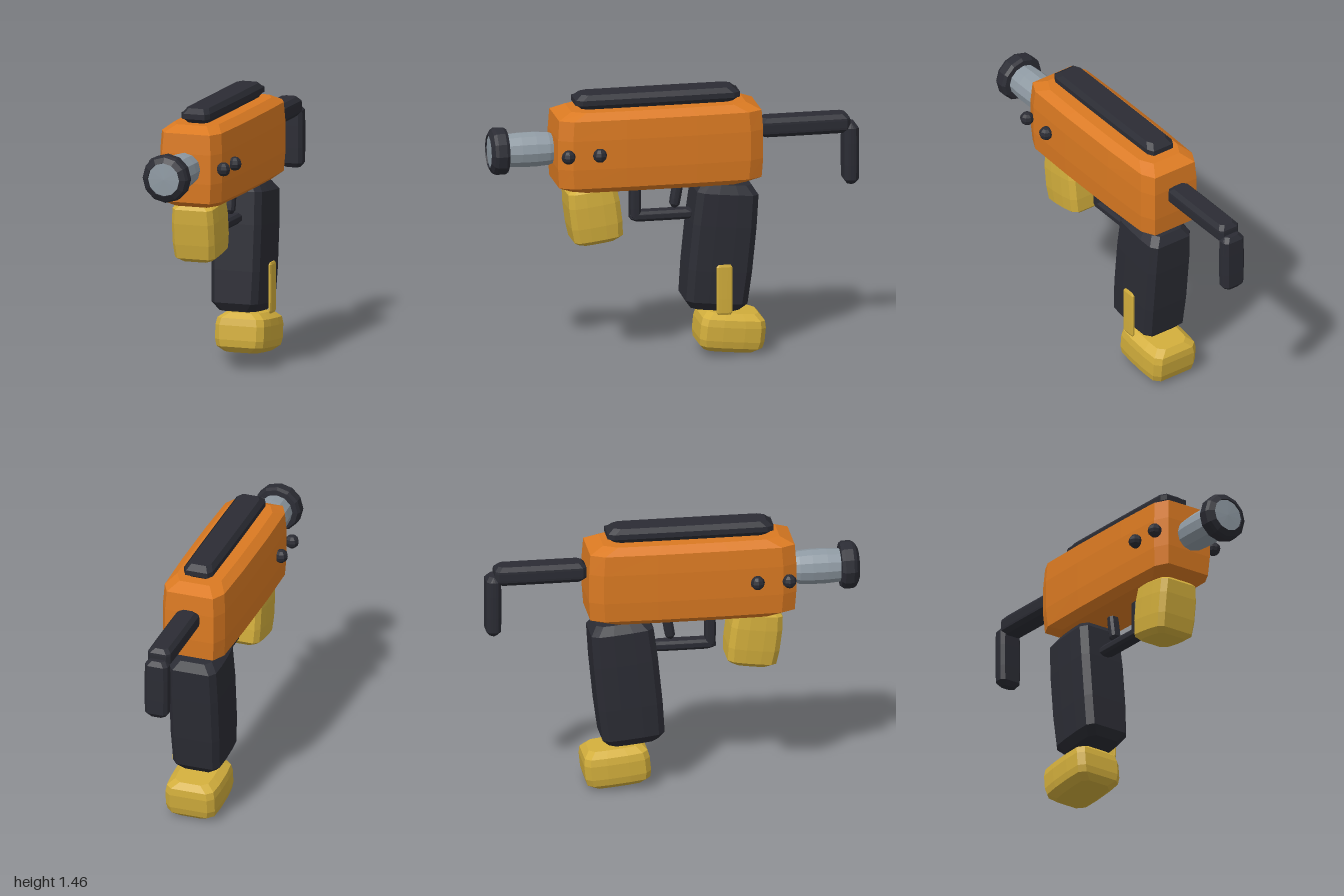
import * as THREE from 'three';

const orange = new THREE.MeshStandardMaterial({ color: 0xdb7a22 });
orange.name = 'orange shell';
const yellow = new THREE.MeshStandardMaterial({ color: 0xd2ae3c });
yellow.name = 'yellow trim';
const dark = new THREE.MeshStandardMaterial({ color: 0x2b2c34 });
dark.name = 'dark rubber';
const grey = new THREE.MeshStandardMaterial({ color: 0x8f9aa3 });
grey.name = 'grey metal';

// Separate every face so that it shades flat
function faceted(geometry) {
  const flat = geometry.index ? geometry.toNonIndexed() : geometry;
  flat.computeVertexNormals();
  return flat;
}

// Box with chamfered edges and slightly swollen sides, built from stacked rings.
// chamfer = [cx, cy, cz], bulge = fraction lost towards the ends
function softBox(w, h, d, chamfer, bulge = 0.04) {
  const [cx, cy, cz] = chamfer;
  const ring = (y, inset, scale) => {
    const hx = (w / 2) * scale - cx * inset;
    const hz = (d / 2) * (1 - (1 - scale) * Math.min(1, w / d)) - cz * inset;
    const pts = [];
    for (const s of [1, -1]) {
      for (const t of [1, 0.4, -0.4, -1]) {
        const side = Math.abs(t) === 1 ? hx * (1 - bulge) : hx;
        pts.push([s * side, y, s * t * (hz - cz)]);
      }
      pts.push([s * (hx - cx), y, -s * hz], [-s * (hx - cx), y, -s * hz]);
    }
    return pts;
  };
  const e = 1 - bulge;
  const rings = [
    ring(-h / 2, 1, e), ring(-h / 2 + cy, 0, e), ring(-h * 0.18, 0, 1),
    ring(h * 0.18, 0, 1), ring(h / 2 - cy, 0, e), ring(h / 2, 1, e),
  ];
  const n = rings[0].length;
  const out = [];
  for (let i = 0; i < n; i++) {
    const k = (i + 1) % n;
    for (let j = 0; j < rings.length - 1; j++) {
      const a = rings[j][i], b = rings[j][k], c = rings[j + 1][k], f = rings[j + 1][i];
      out.push(...a, ...b, ...c, ...a, ...c, ...f);
    }
    out.push(0, -h / 2, 0, ...rings[0][k], ...rings[0][i]);
    out.push(0, h / 2, 0, ...rings[5][i], ...rings[5][k]);
  }
  const g = new THREE.BufferGeometry();
  g.setAttribute('position', new THREE.Float32BufferAttribute(out, 3));
  return faceted(g);
}

// Twelve-sided turned part pointing along +z
function turned(profile) {
  const g = new THREE.LatheGeometry(profile.map(([r, z]) => new THREE.Vector2(r, z)), 12);
  g.rotateX(Math.PI / 2);
  return faceted(g);
}

export function createModel() {
  const model = new THREE.Group();
  model.name = 'toyBlaster';

  const add = (name, geometry, material, x, y, z, tilt = 0) => {
    const mesh = new THREE.Mesh(geometry, material);
    mesh.name = name;
    mesh.position.set(x, y, z);
    mesh.rotation.x = tilt;
    model.add(mesh);
    return mesh;
  };

  // Main shell and top rail
  add('body', softBox(0.364, 0.44, 1.11, [0.045, 0.035, 0.075]), orange, 0, 1.178, 0.095);
  add('topRail', softBox(0.165, 0.078, 0.89, [0.02, 0.03, 0.035], 0.02), dark, 0, 1.437, 0.095);

  // Barrel and muzzle ring
  add('barrel', turned([[0, 0.66], [0.083, 0.66], [0.09, 0.68], [0.095, 0.75], [0.095, 0.83],
    [0.09, 0.9], [0.09, 0.99], [0, 0.994]]), grey, 0, 1.18, 0);
  add('muzzleRing', turned([[0.088, 0.9], [0.118, 0.903], [0.129, 0.92], [0.129, 0.965],
    [0.119, 0.982], [0.09, 0.999], [0.088, 0.985]]), dark, 0, 1.18, 0);

  // Side studs
  for (const side of [1, -1]) {
    for (const z of [0.605, 0.435]) {
      add('sideStud', faceted(new THREE.SphereGeometry(0.038, 8, 6)), dark, side * 0.194, 1.18, z);
    }
  }

  // Rear stock
  add('stockBar', softBox(0.13, 0.104, 0.49, [0.02, 0.022, 0.02], 0.02), dark, 0, 1.235, -0.705);
  add('stockPad', softBox(0.134, 0.335, 0.08, [0.02, 0.025, 0.018], 0.03), dark, 0, 1.066, -0.957);

  // Rear grip, its foot and side strip
  add('grip', softBox(0.285, 0.69, 0.345, [0.035, 0.045, 0.035]), dark, 0, 0.605, -0.246, -0.1);
  add('gripFoot', softBox(0.29, 0.212, 0.352, [0.04, 0.03, 0.03], 0.05), yellow, 0, 0.131, -0.302, -0.1);
  add('gripStrip', softBox(0.018, 0.275, 0.085, [0.004, 0.012, 0.008], 0.08), yellow, 0.151, 0.387, -0.247);

  // Front grip
  add('frontGrip', softBox(0.25, 0.32, 0.275, [0.03, 0.025, 0.03], 0.05), yellow, 0, 0.822, 0.437, 0.13);

  // Trigger and guard
  add('guardPost', softBox(0.08, 0.2, 0.055, [0.012, 0.015, 0.012], 0.02), dark, 0, 0.865, 0.207);
  add('guardBar', softBox(0.08, 0.054, 0.35, [0.012, 0.014, 0.025], 0.02), dark, 0, 0.781, 0.06);
  add('trigger', softBox(0.06, 0.16, 0.052, [0.012, 0.02, 0.014], 0.03), dark, 0, 0.895, -0.017, -0.17);

  return model;
}
